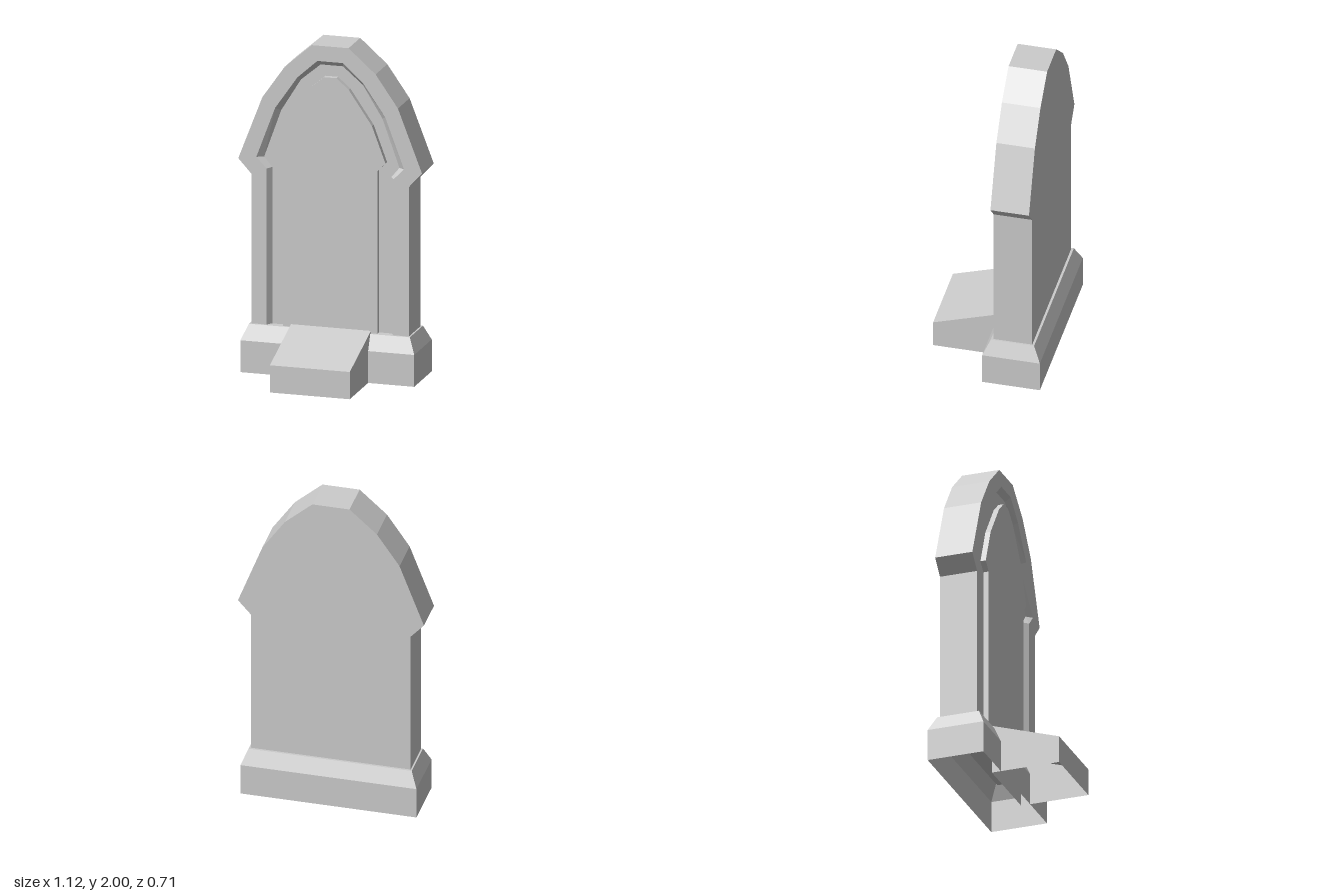
import * as THREE from 'three';

const stone = new THREE.MeshStandardMaterial({ color: 0xcccccc, flatShading: true, side: THREE.DoubleSide });

// Skins matching loops of points; caps join each point to its mirror partner.
function loft(name, loops, capStart, capEnd) {
  const pos = [];
  const quad = (a, b, c, d) => pos.push(...a, ...b, ...c, ...a, ...c, ...d);
  const n = loops[0].length;
  for (let k = 0; k < loops.length - 1; k++) {
    for (let i = 0; i < n; i++) {
      const j = (i + 1) % n;
      quad(loops[k][i], loops[k][j], loops[k + 1][j], loops[k + 1][i]);
    }
  }
  const cap = (l, flip) => {
    for (let i = 0; i < n / 2 - 1; i++) {
      const q = [l[i], l[i + 1], l[n - 2 - i], l[n - 1 - i]];
      quad(...(flip ? q.reverse() : q));
    }
  };
  if (capStart) cap(loops[0], true);
  if (capEnd) cap(loops[loops.length - 1], false);
  const geo = new THREE.BufferGeometry();
  geo.setAttribute('position', new THREE.Float32BufferAttribute(pos, 3));
  geo.computeVertexNormals();
  const mesh = new THREE.Mesh(geo, stone);
  mesh.name = name;
  return mesh;
}

// Full arch outline from its right half, at depth z.
const arch = (half, z) => [
  ...half.map(([x, y]) => [x, y, z]),
  ...half.slice().reverse().map(([x, y]) => [-x, y, z]),
];

// Rectangle in plan, with separate heights for front and back edges.
const rect = (x0, x1, zBack, zFront, yBack, yFront = yBack) => [
  [x1, yFront, zFront], [x1, yBack, zBack], [x0, yBack, zBack], [x0, yFront, zFront],
];

export function createModel() {
  const group = new THREE.Group();
  const foot = 0.27, front = -0.065, sunk = -0.098, back = -0.296;

  // Slab: shouldered arch with a bevelled recess around a raised panel
  const outer = [[0.48, foot], [0.48, 1.19], [0.56, 1.278], [0.413, 1.66], [0.277, 1.855], [0.112, 2]];
  const rim = [[0.387, foot], [0.387, 1.23], [0.45, 1.295], [0.336, 1.6], [0.2, 1.797], [0.078, 1.907]];
  const recess = [[0.363, foot], [0.363, 1.232], [0.412, 1.292], [0.308, 1.582], [0.188, 1.777], [0.068, 1.878]];
  const panel = [[0.288, foot], [0.288, 1.27], [0.337, 1.32], [0.255, 1.54], [0.113, 1.748], [0.038, 1.812]];
  group.add(loft('archedSlab', [
    arch(outer, back), arch(outer, front), arch(rim, front),
    arch(recess, sunk), arch(panel, sunk), arch(panel, front),
  ], true, true));

  // Plinth: block with chamfered top, open underneath
  group.add(loft('plinth', [
    rect(-0.53, 0.53, -0.354, -0.008, 0),
    rect(-0.53, 0.53, -0.354, -0.008, 0.193),
    rect(-0.49, 0.49, -0.31, -0.05, 0.285),
  ], false, true));

  // Sloping block at the foot, open underneath
  group.add(loft('slopedBlock', [
    rect(-0.238, 0.249, -0.064, 0.354, 0),
    rect(-0.238, 0.249, -0.064, 0.354, 0.3, 0.165),
  ], false, true));

  return group;
}
